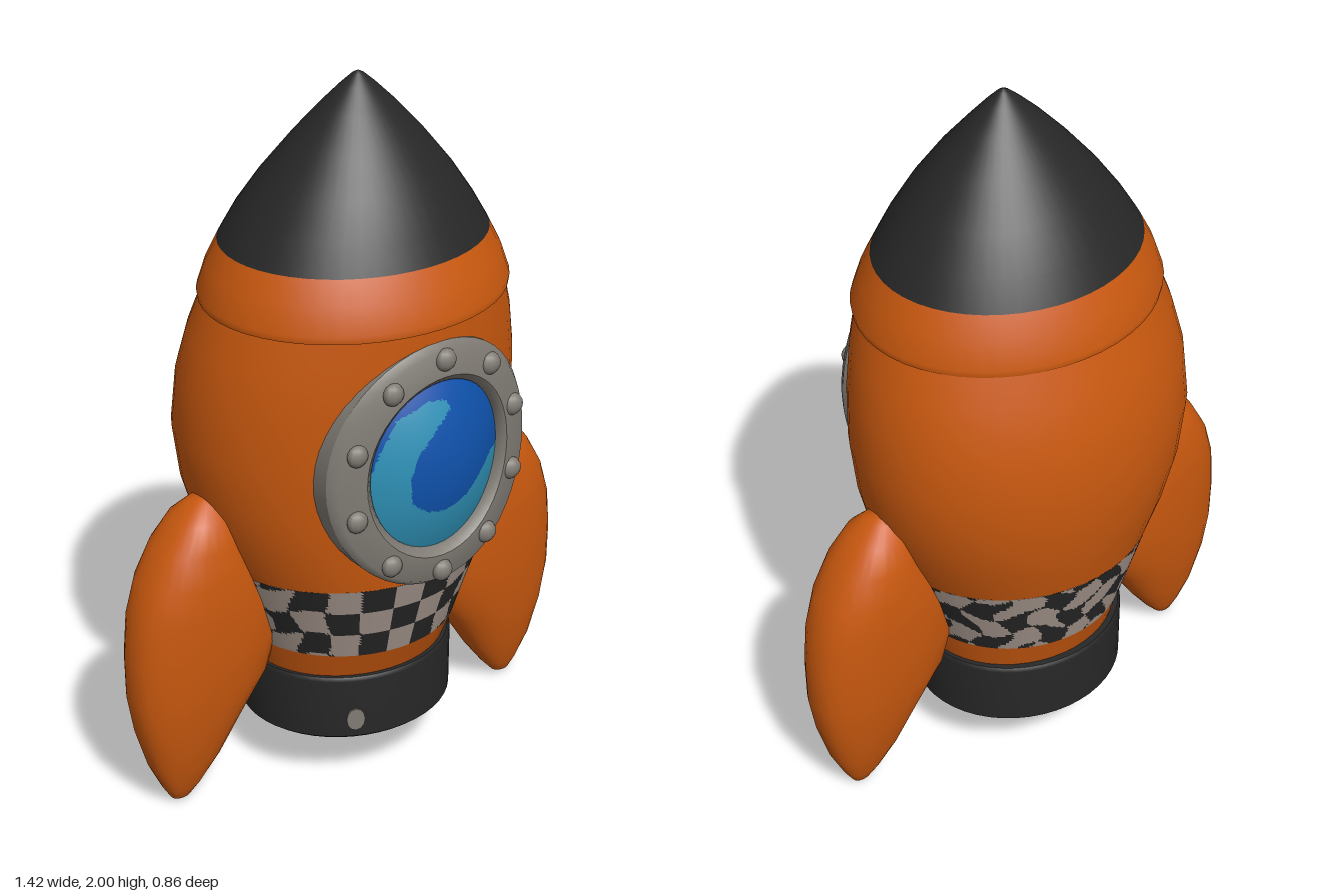
import * as THREE from 'three';

const mat = (name, color) => {
  const m = new THREE.MeshStandardMaterial({ color });
  m.name = name;
  return m;
};

// Closed tube of rings: point(row, angle) gives each vertex. A repeated row makes a crease.
function rings(rows, segs, point) {
  const pos = [], idx = [];
  rows.forEach((row, i) => {
    for (let j = 0; j < segs; j++) {
      pos.push(...point(row, (j / segs) * Math.PI * 2));
      if (i === 0) continue;
      const a = (i - 1) * segs + j, b = (i - 1) * segs + (j + 1) % segs;
      idx.push(a, b, a + segs, b, b + segs, a + segs);
    }
  });
  const g = new THREE.BufferGeometry();
  g.setAttribute('position', new THREE.Float32BufferAttribute(pos, 3));
  g.setIndex(idx);
  g.computeVertexNormals();
  return g;
}

// Hull ring: [y, half width, front z, back z]
const hull = ([y, rx, zf, zb], a) =>
  [rx * Math.sin(a), y, (zf + zb) / 2 + ((zf - zb) / 2) * Math.cos(a)];

// Porthole ring: [half width, half height, z], wrapped around the hull
const PORT = { x: 0.005, y: 1.025 };
const port = ([rx, ry, z], a) => {
  const x = rx * Math.cos(a);
  return [PORT.x + x, PORT.y + ry * Math.sin(a), z - 0.5 * x * x];
};

// Splits faces into two material groups by the position of their centre
function paint(g, isSecond) {
  const p = g.attributes.position, src = g.index.array, parts = [[], []];
  for (let i = 0; i < src.length; i += 3) {
    const t = [src[i], src[i + 1], src[i + 2]];
    const mid = (f) => t.reduce((s, k) => s + p[f](k), 0) / 3;
    parts[isSecond(mid('getX'), mid('getY'), mid('getZ')) ? 1 : 0].push(...t);
  }
  g.setIndex([...parts[0], ...parts[1]]);
  g.addGroup(0, parts[0].length, 0);
  g.addGroup(parts[0].length, parts[1].length, 1);
  return g;
}

function inside(poly, x, y) {
  let hit = false;
  poly.forEach(([x1, y1], i) => {
    const [x2, y2] = poly[(i + 1) % poly.length];
    if ((y1 > y) !== (y2 > y) && x < ((x2 - x1) * (y - y1)) / (y2 - y1) + x1) hit = !hit;
  });
  return hit;
}

export function createModel() {
  const orange = mat('orange', 0xca590f), black = mat('black', 0x272727);
  const grey = mat('metal grey', 0x817c75), pale = mat('pale check', 0xa99a90);
  const blue = mat('deep blue', 0x0f52ac), sky = mat('light blue', 0x2f92b8);
  const model = new THREE.Group();
  model.name = 'rocket';
  const add = (name, geometry, material, parent = model) => {
    const m = new THREE.Mesh(geometry, material);
    m.name = name;
    parent.add(m);
    return m;
  };

  // Nozzle: black outer band, orange funnel and dark recess underneath
  add('nozzleBand', rings([
    [0.16, 0.275, 0.228, -0.273], [0.155, 0.29, 0.243, -0.288], [0.165, 0.303, 0.255, -0.3],
    [0.165, 0.303, 0.255, -0.3], [0.34, 0.305, 0.255, -0.3], [0.35, 0.298, 0.248, -0.293],
    [0.35, 0.298, 0.248, -0.293], [0.352, 0.2, 0.15, -0.19],
  ], 48, hull), black);
  add('nozzleFunnel', rings([
    [0.25, 0.18, 0.135, -0.18], [0.2, 0.225, 0.18, -0.225], [0.16, 0.276, 0.229, -0.274],
  ], 48, hull), orange);
  add('nozzleRecess', rings([
    [0.3, 0, -0.022, -0.022], [0.3, 0.18, 0.135, -0.18], [0.3, 0.18, 0.135, -0.18],
    [0.25, 0.18, 0.135, -0.18],
  ], 48, hull), black);
  const spot = add('nozzleSpot', new THREE.CylinderGeometry(0.026, 0.026, 0.008, 12), grey);
  spot.position.set(-0.145, 0.22, 0.222);
  spot.rotation.set(Math.PI / 2, 0, 0.45);
  spot.scale.z = 1.3;

  // Hull
  add('lowerHull', rings([[0.34, 0.285, 0.232, -0.272], [0.43, 0.308, 0.27, -0.3]], 48, hull), orange);
  add('upperHull', rings([
    [0.67, 0.39, 0.342, -0.365], [0.78, 0.435, 0.352, -0.393], [0.9, 0.47, 0.358, -0.415],
    [1.05, 0.49, 0.363, -0.425], [1.2, 0.479, 0.372, -0.41], [1.32, 0.453, 0.376, -0.378],
    [1.43, 0.415, 0.376, -0.342],
  ], 48, hull), orange);

  // Checked band around the hull
  const steps = [...Array(25).keys()].map((i) => i / 24);
  const low = [0.43, 0.308, 0.27, -0.3], high = [0.67, 0.39, 0.342, -0.365];
  const band = rings(steps.map((t) => low.map((v, k) => v + (high[k] - v) * t)), 240, hull);
  add('checkedBand', paint(band, (x, y, z) => {
    const a = Math.atan2(x, z + 0.015);
    const wobble = 0.3 * Math.min(1, Math.max(0, Math.abs(a + 0.2) - 0.3));
    const u = a / (Math.PI / 12) + wobble * Math.sin(y * 38 + a * 2);
    const v = (y - 0.43) / 0.08 + wobble * Math.sin(a * 9);
    return (Math.floor(u) + Math.floor(v)) % 2 === 0;
  }), [pale, black]);

  // Collar and nose cone
  add('collar', rings([
    [1.41, 0.4, 0.36, -0.325], [1.41, 0.427, 0.388, -0.352], [1.41, 0.427, 0.388, -0.352],
    [1.43, 0.43, 0.39, -0.355], [1.5, 0.405, 0.37, -0.335], [1.565, 0.372, 0.34, -0.305],
  ], 48, hull), orange);
  add('noseCone', rings([
    [1.565, 0.372, 0.34, -0.305], [1.64, 0.327, 0.307, -0.267], [1.73, 0.264, 0.257, -0.207],
    [1.83, 0.181, 0.188, -0.128], [1.91, 0.106, 0.122, -0.059], [1.965, 0.048, 0.075, -0.008],
    [1.992, 0.016, 0.049, 0.02], [2, 0, 0.035, 0.035],
  ], 48, hull), black);

  // Porthole: frame, rivets and domed glass
  const porthole = new THREE.Group();
  porthole.name = 'porthole';
  model.add(porthole);
  add('portholeFrame', rings([
    [0.32, 0.345, 0.29], [0.322, 0.347, 0.375], [0.322, 0.347, 0.375], [0.305, 0.33, 0.398],
    [0.23, 0.258, 0.404], [0.23, 0.258, 0.404], [0.21, 0.238, 0.385], [0.208, 0.236, 0.33],
  ], 48, port), grey, porthole);
  const rivet = new THREE.SphereGeometry(0.031, 10, 8);
  for (let i = 0; i < 10; i++) {
    const r = add('rivet', rivet, grey, porthole);
    r.position.set(...port([0.268, 0.305, 0.4], Math.PI / 2 + (i * Math.PI) / 5));
    r.scale.z = 0.7;
  }
  const glass = rings([...Array(33).keys()].map((i) => {
    const s = 1 - i / 32;
    return [0.213 * s, 0.241 * s, 0.43 - 0.055 * s * s];
  }), 128, port);
  const shine = [
    [-0.3, 1.03], [-0.2, 1.04], [-0.18, 1.1], [-0.13, 1.185], [-0.05, 1.22], [0.01, 1.215],
    [0.02, 1.19], [-0.03, 1.15], [-0.085, 1.09], [-0.11, 1.02], [-0.1, 0.95], [-0.06, 0.918],
    [0, 0.907], [0.07, 0.93], [0.13, 0.98], [0.17, 1.01], [0.3, 1.04], [0.3, 0.7], [-0.3, 0.7],
  ];
  add('glass', paint(glass, (x, y) => inside(shine, x, y)), [blue, sky], porthole);

  // Side fins: [y, inner x, outer x, half thickness]
  const finRows = [
    [0, 0.56, 0.57, 0.004], [0.012, 0.538, 0.594, 0.022], [0.05, 0.503, 0.617, 0.04],
    [0.13, 0.442, 0.655, 0.068], [0.25, 0.365, 0.69, 0.095], [0.36, 0.285, 0.708, 0.112],
    [0.48, 0.25, 0.708, 0.122], [0.6, 0.28, 0.694, 0.126], [0.7, 0.33, 0.662, 0.122],
    [0.79, 0.37, 0.61, 0.108], [0.86, 0.39, 0.552, 0.083], [0.9, 0.41, 0.5, 0.045],
    [0.912, 0.44, 0.46, 0.005],
  ];
  const power = (v, e) => Math.sign(v) * Math.abs(v) ** e;
  for (const side of [1, -1]) {
    const fin = rings(finRows, 28, ([y, x0, x1, t], a) => [
      side * (x0 + x1) / 2 + ((x1 - x0) / 2) * power(Math.sin(a), 0.85),
      y,
      (side > 0 ? -0.015 : -0.025) + t * power(Math.cos(a), 0.85),
    ]);
    add(side > 0 ? 'leftFin' : 'rightFin', fin, orange);
  }
  return model;
}
